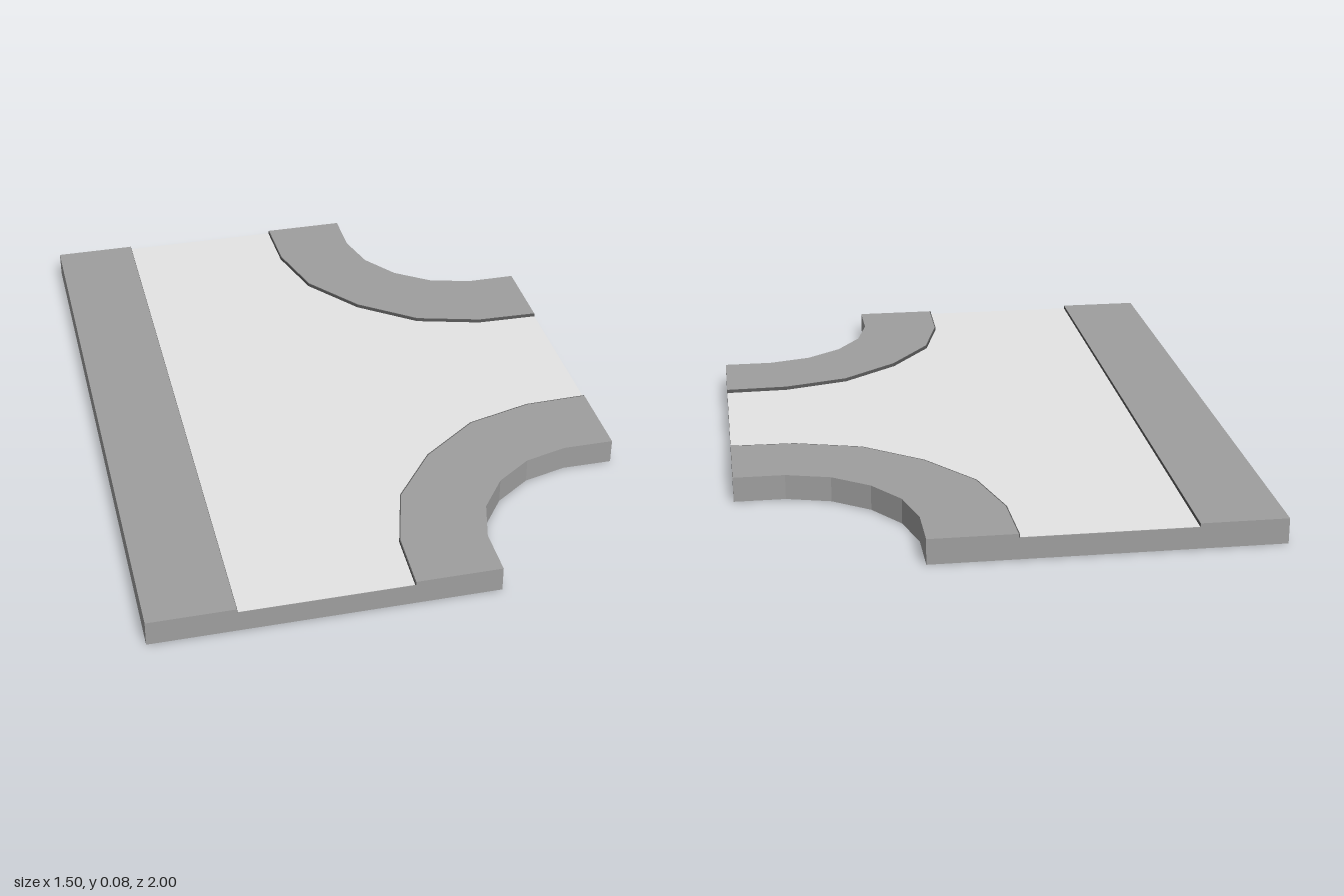
import * as THREE from 'three';

const BASE_Y = 0.065, ROAD_Y = 0.066, KERB_Y = 0.076;

// Corner curves as offsets from the outer corner (0.75, 1), side edge first
const CUT = [[0.5, 0], [0.5, 0.15], [0.465, 0.28], [0.388, 0.388], [0.28, 0.465], [0.15, 0.5], [0, 0.5]];
const KERB = [[0.75, 0], [0.745, 0.19], [0.69, 0.388], [0.56, 0.56], [0.388, 0.69], [0.19, 0.745], [0, 0.75]];
const KERB_FACE = KERB.map(([dx, dz]) => [dx * 1.004, dz * 1.004]);

// Place a curve at the front (side = -1) or back (side = 1) corner
const corner = (curve, side) =>
  curve.map(([dx, dz]) => new THREE.Vector2(0.75 - dx, side * (1 - dz)));

// Closed plan from the left border x, round both corner curves
const plan = (x, curve) => new THREE.Shape([
  new THREE.Vector2(x, -1), ...corner(curve, -1),
  ...corner(curve, 1).reverse(), new THREE.Vector2(x, 1),
]);

// Band between two curves at one corner
const band = (outer, inner, side) =>
  new THREE.Shape([...corner(outer, side), ...corner(inner, side).reverse()]);

// Plan extruded upwards from y0 to y1
const slab = (shape, y0, y1) =>
  new THREE.ExtrudeGeometry(shape, { depth: y1 - y0, bevelEnabled: false })
    .rotateX(-Math.PI / 2).translate(0, y0, 0);

// Upright box between two x positions, running the length of the tile
const strip = (x0, x1) =>
  new THREE.BoxGeometry(x1 - x0, KERB_Y - BASE_Y, 2)
    .translate((x0 + x1) / 2, (KERB_Y + BASE_Y) / 2, 0);

function makeMaterial(name, color) {
  const material = new THREE.MeshStandardMaterial({ color, flatShading: true });
  material.name = name;
  return material;
}

export function createModel() {
  const model = new THREE.Group();
  model.name = 'roadJunctionTile';
  const pavement = makeMaterial('pavementGrey', 0x9f9f9f);
  const asphalt = makeMaterial('roadLightGrey', 0xe5e5e5);
  const dark = makeMaterial('darkGrey', 0x5c5c5c);

  const add = (name, geometry, material) => {
    const mesh = new THREE.Mesh(geometry, material);
    mesh.name = name;
    model.add(mesh);
  };

  // Base slab with the two corner cut-outs, and its dark underside
  add('baseSlab', slab(plan(-0.75, CUT), 0.001, BASE_Y), pavement);
  add('underside', new THREE.ShapeGeometry(plan(-0.75, CUT)).rotateX(Math.PI / 2), dark);

  // Road surface as a thin face
  const road = new THREE.ShapeGeometry(plan(-0.5, KERB));
  add('roadSurface', road.rotateX(-Math.PI / 2).translate(0, ROAD_Y, 0), asphalt);

  // Straight pavement along the closed side, with its kerb face
  add('straightPavement', strip(-0.75, -0.5), pavement);
  add('straightKerbFace', strip(-0.5, -0.499), dark);

  // Curved pavements round both corners, with their kerb faces
  for (const side of [1, -1]) {
    const end = side > 0 ? 'back' : 'front';
    add(`${end}CornerPavement`, slab(band(KERB, CUT, side), BASE_Y, KERB_Y), pavement);
    add(`${end}KerbFace`, slab(band(KERB_FACE, KERB, side), BASE_Y, KERB_Y), dark);
  }
  return model;
}
